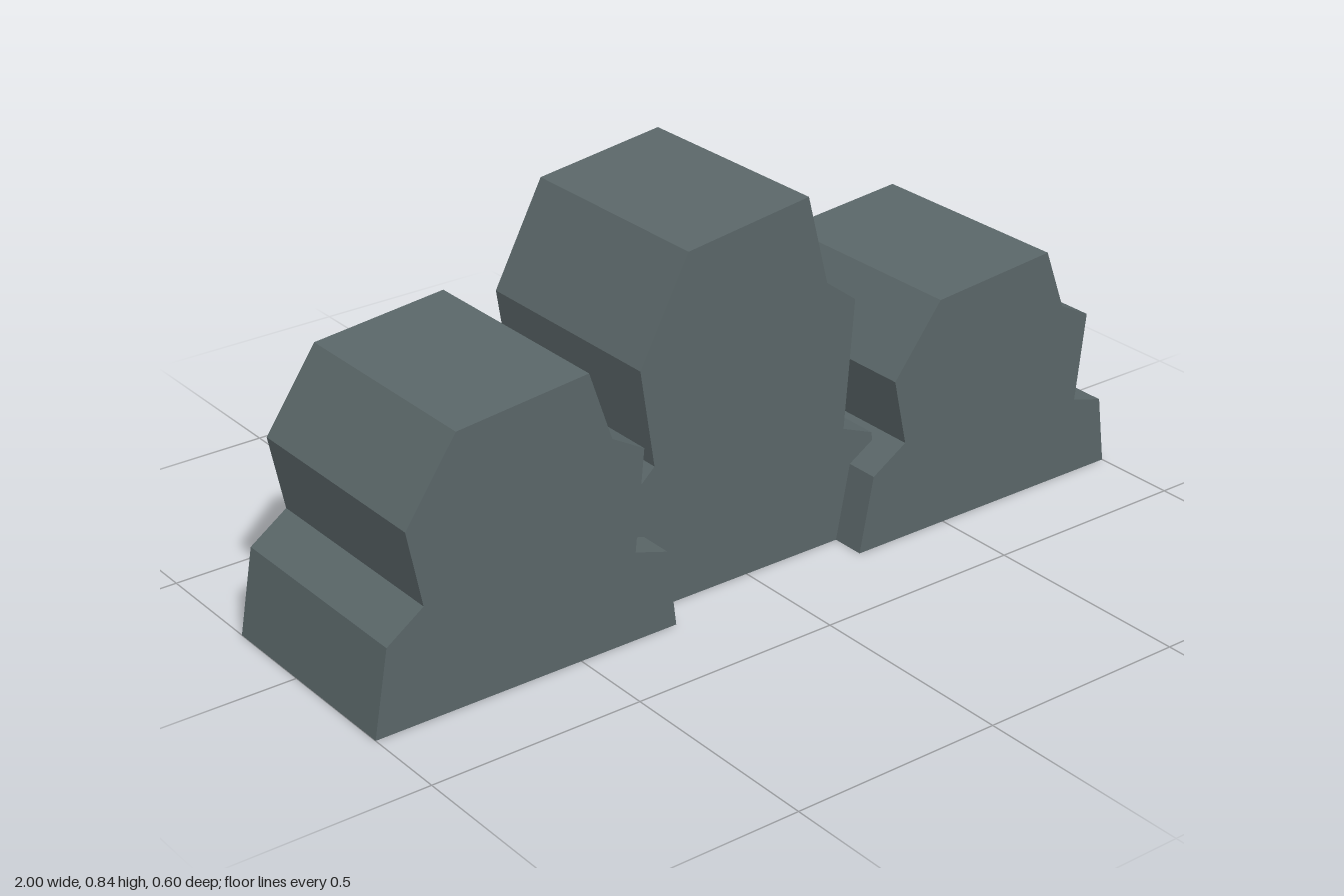
import * as THREE from 'three';

// Shared rock silhouette, full height, centred on x = 0
const PROFILE = [
  [-0.373, 0], [-0.338, 0.258], [-0.249, 0.339], [-0.284, 0.567], [-0.16, 0.8],
  [0.157, 0.842], [0.212, 0.632], [0.292, 0.573], [0.268, 0.27], [0.35, 0.237], [0.373, 0],
];
const DEPTH = 0.52;

export function createModel() {
  const model = new THREE.Group();
  model.name = 'rocks';
  const stone = new THREE.MeshStandardMaterial({ color: 0x5a6668 });
  stone.name = 'slate stone';

  // One extruded rock, squashed to its own height
  function addRock(name, x, backZ, heightScale) {
    const points = PROFILE.map(([px, py]) => new THREE.Vector2(px, py * heightScale));
    const geometry = new THREE.ExtrudeGeometry(new THREE.Shape(points), {
      depth: DEPTH, bevelEnabled: false,
    });
    const rock = new THREE.Mesh(geometry, stone);
    rock.name = name;
    rock.position.set(x, 0, backZ);
    model.add(rock);
  }

  addRock('rightRock', -0.627, -0.22, 0.768);
  addRock('middleRock', 0, -0.3, 1);
  addRock('leftRock', 0.627, -0.22, 0.689);

  return model;
}
